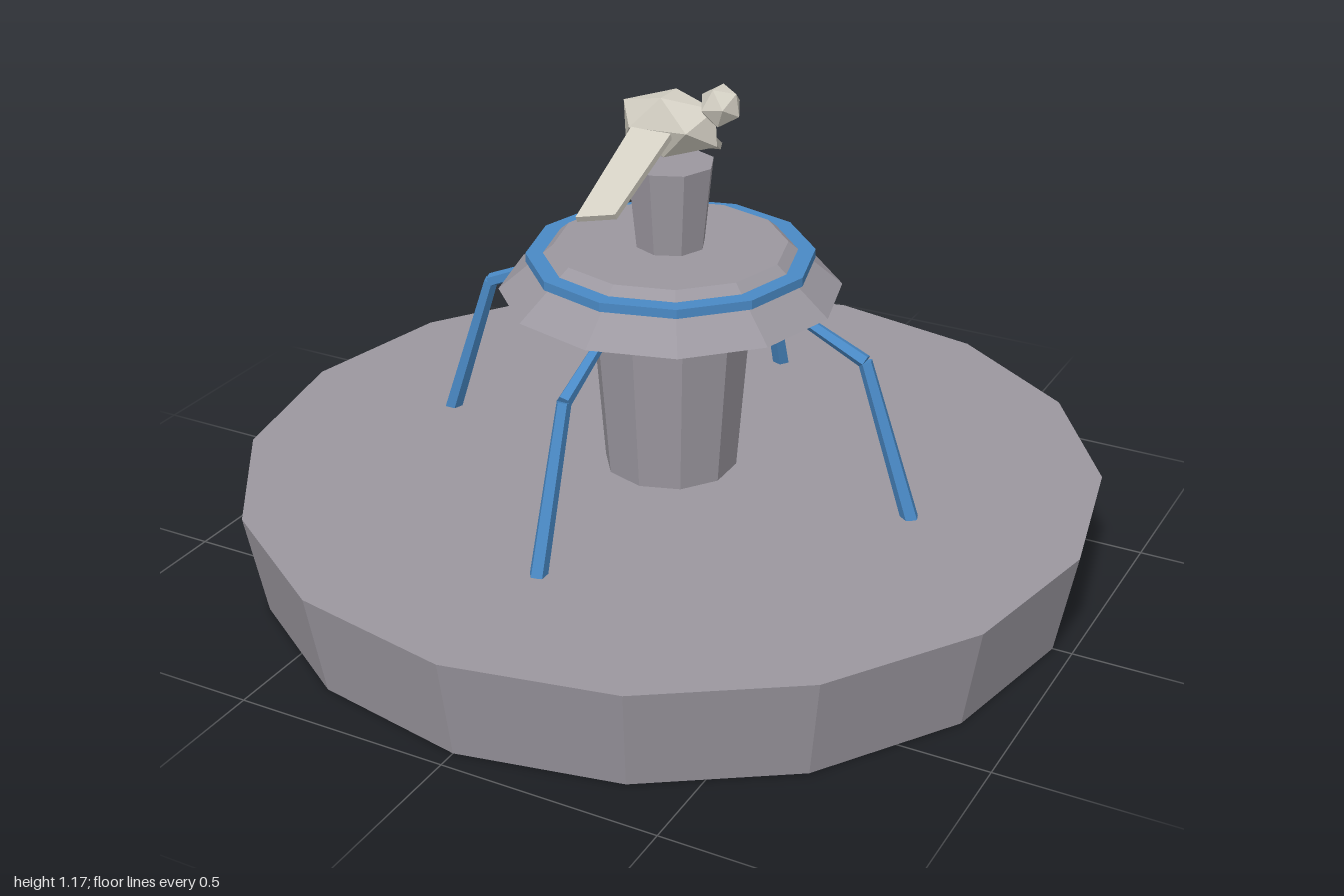
import * as THREE from 'three';

const flat = (name, color) => {
  const m = new THREE.MeshStandardMaterial({ color, flatShading: true });
  m.name = name;
  return m;
};

export function createModel() {
  const model = new THREE.Group();
  model.name = 'birdFountain';
  const stone = flat('stone grey', 0x9c98a0);
  const water = flat('water blue', 0x4a8ac6);
  const cream = flat('pale cream', 0xd2cec2);

  const add = (name, geometry, material, parent = model) => {
    const mesh = new THREE.Mesh(geometry, material);
    mesh.name = name;
    parent.add(mesh);
    return mesh;
  };
  // Tapered stone drum standing between two heights
  const drum = (name, rTop, rBottom, y0, y1, sides) => {
    add(name, new THREE.CylinderGeometry(rTop, rBottom, y1 - y0, sides), stone).position.y = (y0 + y1) / 2;
  };
  drum('base', 1, 0.955, 0, 0.24, 16);
  drum('column', 0.19, 0.155, 0.24, 0.69, 10);
  drum('basin', 0.265, 0.39, 0.68, 0.785, 12);
  drum('perch', 0.1, 0.08, 0.785, 0.98, 8);

  // Flat ring of water around the basin
  const section = [[0.282, 0.745], [0.327, 0.745], [0.327, 0.766], [0.282, 0.766], [0.282, 0.745]]
    .map(([r, y]) => new THREE.Vector2(r, y));
  add('waterRing', new THREE.LatheGeometry(section, 12), water);

  // Four bent jets falling from the basin to the base
  const jetSegment = (name, a, b, rA, rB, parent) => {
    const dir = b.clone().sub(a);
    const mesh = add(name, new THREE.CylinderGeometry(rB, rA, dir.length(), 5), water, parent);
    mesh.position.copy(a).add(b).multiplyScalar(0.5);
    mesh.quaternion.setFromUnitVectors(new THREE.Vector3(0, 1, 0), dir.normalize());
  };
  const start = new THREE.Vector3(0.27, 0.695, 0);
  const bend = new THREE.Vector3(0.483, 0.597, 0);
  const end = new THREE.Vector3(0.605, 0.235, 0);
  for (let i = 0; i < 4; i++) {
    const jet = new THREE.Group();
    jet.name = 'waterJet';
    jetSegment('jetUpper', start, bend, 0.012, 0.017, jet);
    jetSegment('jetLower', bend, end, 0.017, 0.021, jet);
    jet.rotation.y = i * Math.PI / 2;
    model.add(jet);
  }

  // Bird facing +x
  const bird = new THREE.Group();
  bird.name = 'bird';
  model.add(bird);
  const body = new THREE.IcosahedronGeometry(1, 0);
  body.rotateY(Math.PI / 2).scale(0.134, 0.08, 0.07).rotateZ(0.05);
  add('body', body, cream, bird).position.set(-0.002, 1.07, 0);
  const head = new THREE.IcosahedronGeometry(0.049, 0);
  head.rotateY(Math.PI / 2).rotateZ(0.15);
  add('head', head, cream, bird).position.set(0.122, 1.13, 0);

  // Drooping wings: a box whose corners follow the wing outline
  const corners = {
    rootFront: [0.035, 1.078, 0.03], rootBack: [-0.065, 1.078, 0.03],
    tipFront: [0.0, 0.936, 0.25], tipBack: [-0.085, 0.922, 0.272],
  };
  for (const side of [1, -1]) {
    const wing = new THREE.BoxGeometry(1, 1, 1);
    const p = wing.attributes.position;
    for (let i = 0; i < p.count; i++) {
      const tip = p.getZ(i) * side > 0 ? 'tip' : 'root';
      const [x, y, z] = corners[tip + (p.getX(i) > 0 ? 'Front' : 'Back')];
      const t = p.getY(i) > 0 ? 0.008 : -0.008;
      p.setXYZ(i, x, y + t * 0.85, side * (z + t * 0.5));
    }
    wing.computeVertexNormals();
    add(side > 0 ? 'rightWing' : 'leftWing', wing, cream, bird);
  }
  return model;
}
